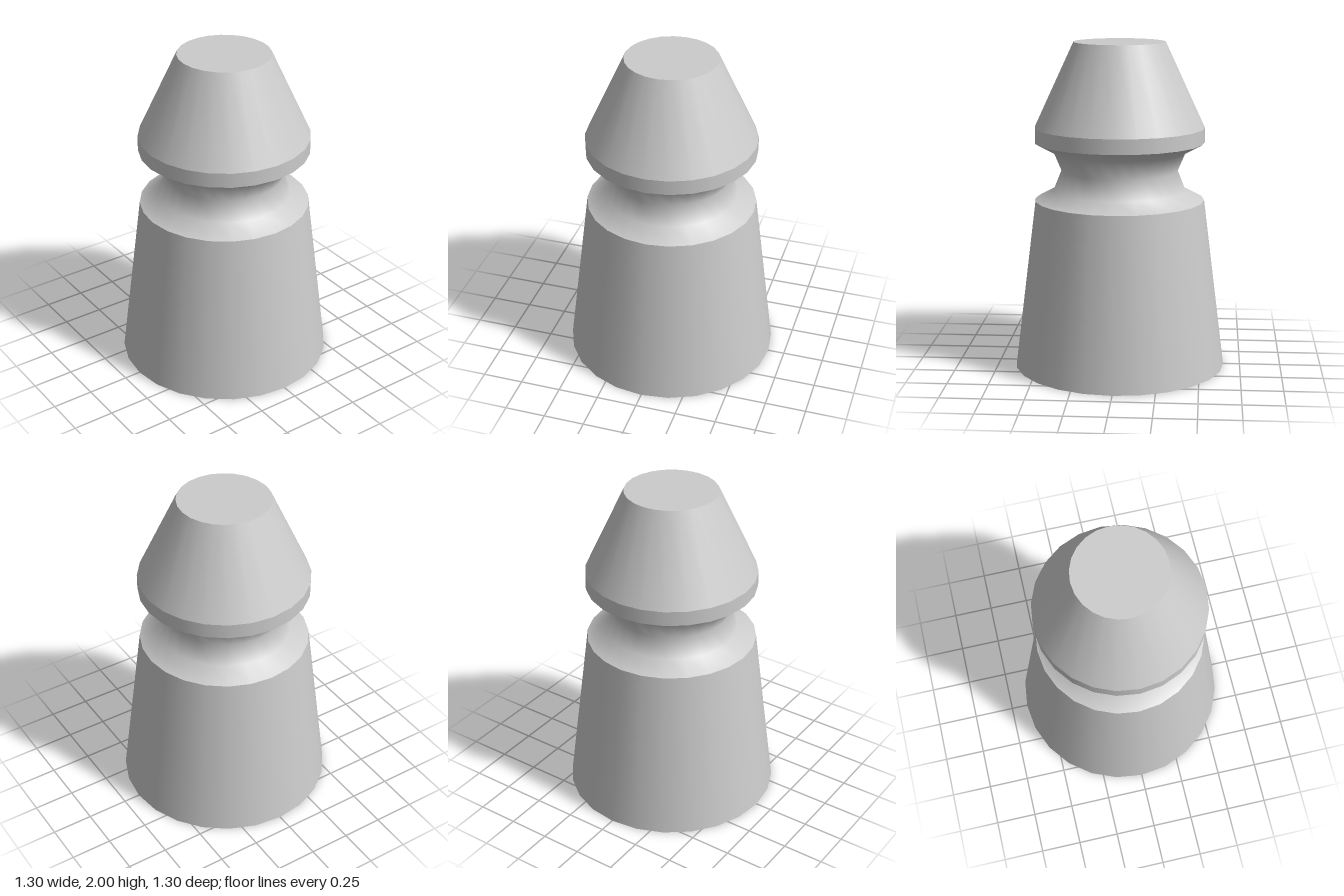
import * as THREE from 'three';

const SIDES = 24;

export function createModel() {
  const group = new THREE.Group();
  const material = new THREE.MeshStandardMaterial({ color: 0xcccccc, side: THREE.DoubleSide });

  // Each section is its own lathe, so the edges between sections stay sharp.
  const section = (name, profile) => {
    const points = profile.map(([r, y]) => new THREE.Vector2(r, y));
    const mesh = new THREE.Mesh(new THREE.LatheGeometry(points, SIDES), material);
    mesh.name = name;
    group.add(mesh);
  };

  // Tapered body, hollow and open underneath
  section('body', [[0.648, 0], [0.517, 1.04]]);
  // Waisted neck, smooth from shoulder to the underside of the head
  section('neck', [[0.517, 1.04], [0.403, 1.1], [0.355, 1.22], [0.403, 1.335], [0.517, 1.395]]);
  // Straight band around the head
  section('headBand', [[0.517, 1.395], [0.517, 1.485]]);
  // Conical head
  section('head', [[0.517, 1.485], [0.278, 2]]);

  // Flat top
  const cap = new THREE.Mesh(new THREE.CircleGeometry(0.278, SIDES).rotateX(-Math.PI / 2), material);
  cap.name = 'topCap';
  cap.position.y = 2;
  group.add(cap);

  return group;
}
